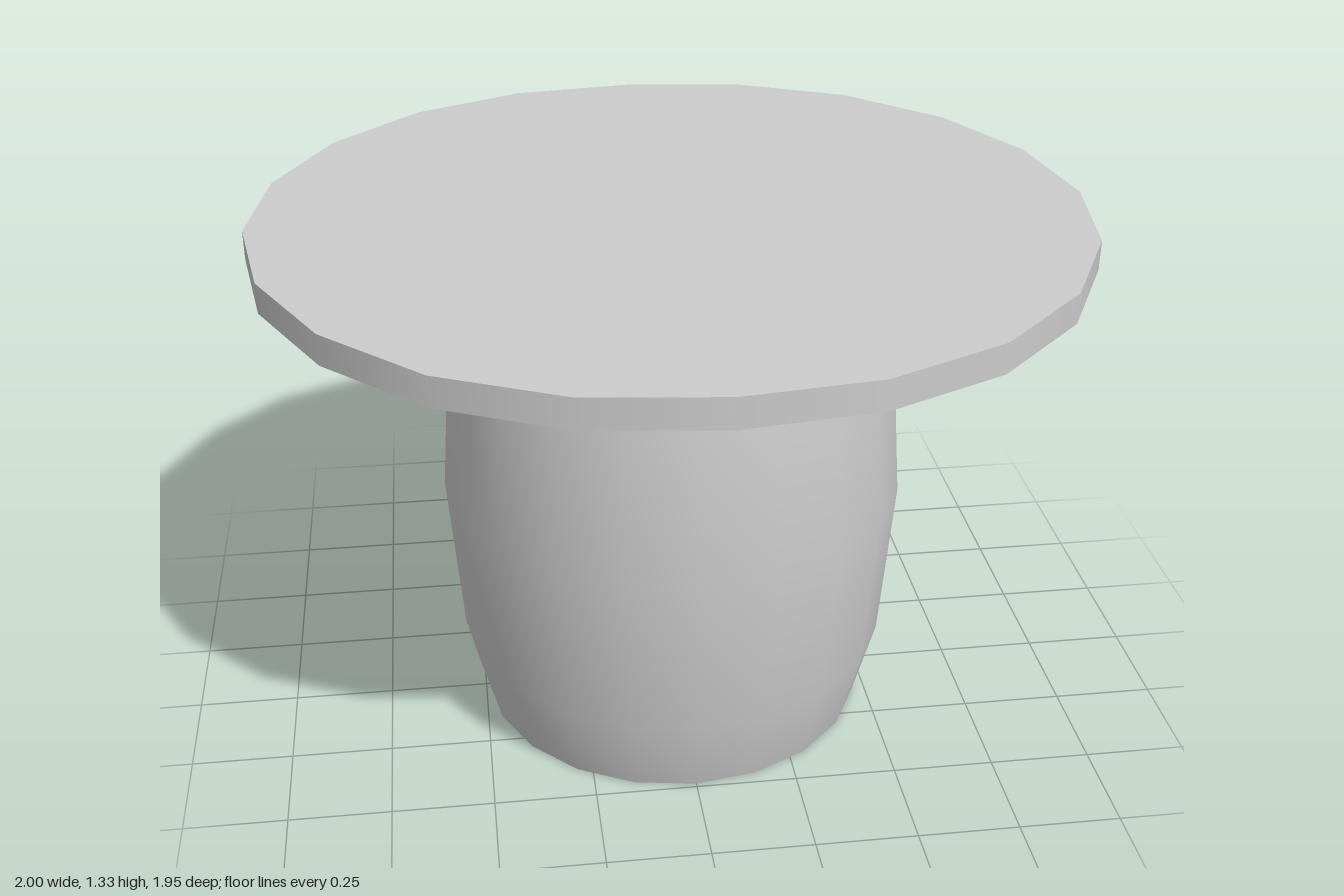
import * as THREE from 'three';

const SIDES = 20;
const BASE_HEIGHT = 1.254;
const TOP_HEIGHT = 1.326;

export function createModel() {
  const group = new THREE.Group();
  const material = new THREE.MeshStandardMaterial({ color: 0xcccccc });

  const add = (name, geometry, y = 0) => {
    const mesh = new THREE.Mesh(geometry, material);
    mesh.name = name;
    mesh.position.y = y;
    group.add(mesh);
    return mesh;
  };

  // Barrel-shaped base, widest halfway up
  const rings = [[0, 0.488], [1 / 6, 0.543], [1 / 2, 0.575], [5 / 6, 0.543], [1, 0.488]];
  const profile = rings.map(([t, r]) => new THREE.Vector2(r, t * BASE_HEIGHT));
  add('base', new THREE.LatheGeometry(profile, SIDES));

  // Flat underside closing the base
  const underside = new THREE.CircleGeometry(0.488, SIDES);
  underside.rotateX(Math.PI / 2);
  add('baseUnderside', underside);

  // Round slab top, slightly flattened at its front and back points
  const thickness = TOP_HEIGHT - BASE_HEIGHT;
  const slab = new THREE.CylinderGeometry(1, 1, thickness, SIDES);
  const p = slab.attributes.position;
  for (let i = 0; i < p.count; i++) {
    const z = p.getZ(i);
    p.setZ(i, z - 0.023 * z ** 13);
  }
  add('tableTop', slab, BASE_HEIGHT + thickness / 2);

  return group;
}
